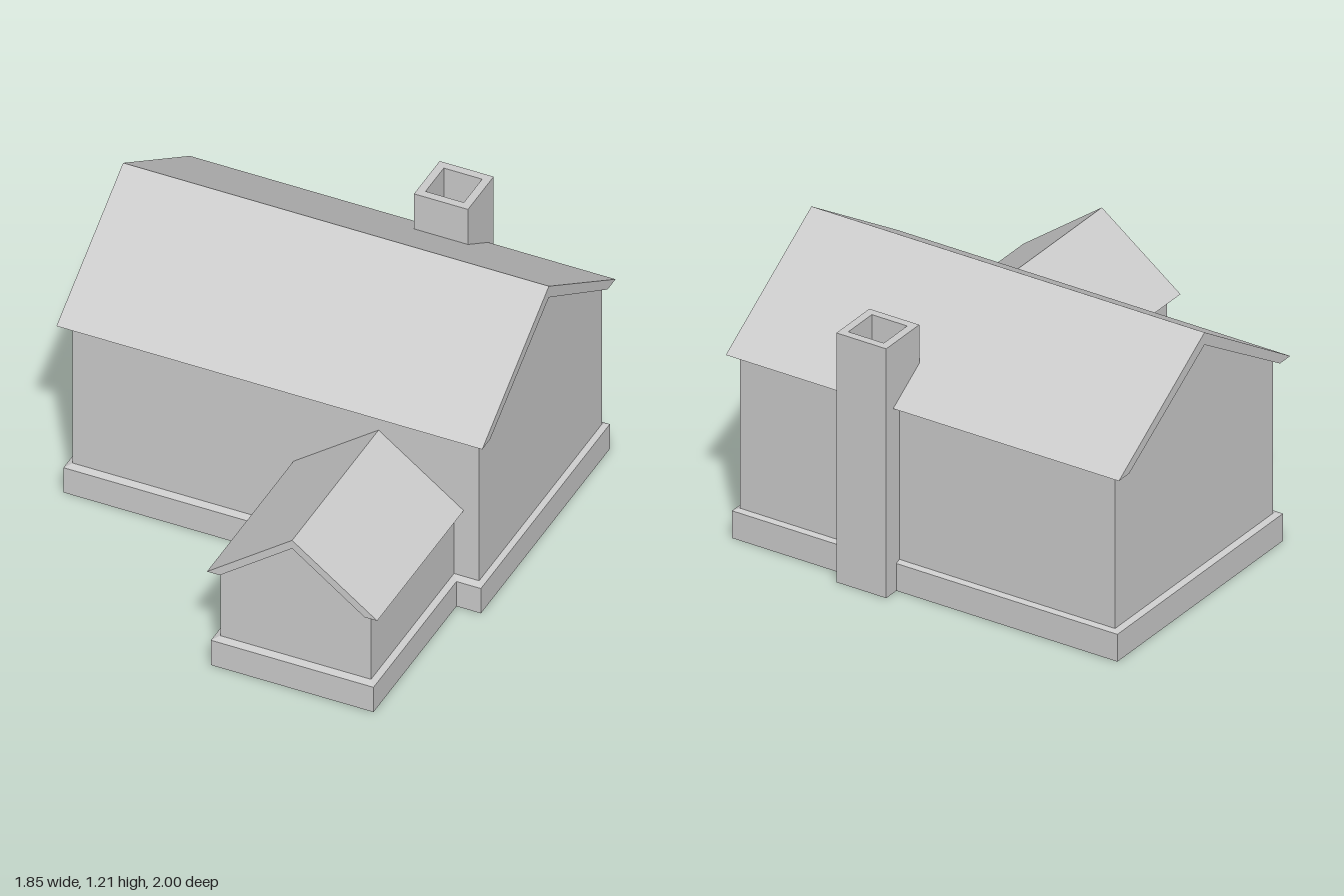
import * as THREE from 'three';

const grey = new THREE.MeshStandardMaterial({ color: 0xcccccc, side: THREE.DoubleSide });
grey.name = 'plain grey';

const shapeOf = (pts) => new THREE.Shape(pts.map(([x, y]) => new THREE.Vector2(x, y)));

function part(name, geometry, parent) {
  const mesh = new THREE.Mesh(geometry, grey);
  mesh.name = name;
  parent.add(mesh);
  return mesh;
}

const extrude = (shape, depth) => new THREE.ExtrudeGeometry(shape, { depth, bevelEnabled: false });

// Pitched roof profile with level soffits: centre, outer and inner half spans
const chevron = (c, outer, inner, eave, top, under) => shapeOf([
  [c - outer, eave], [c - inner, eave], [c, under],
  [c + inner, eave], [c + outer, eave], [c, top],
]);

// Gable wall outline that fits below a roof
const gable = (left, right, c, inner, eave, under) => [
  [left, 0], [right, 0], [right, eave], [c + inner, eave], [c, under], [c - inner, eave], [left, eave],
];

// Closed bands of quads between matching rings of [x, z] points
function loft(rings) {
  const pos = [];
  for (let k = 0; k < rings.length - 1; k++) {
    const n = rings[k].pts.length;
    for (let i = 0; i < n; i++) {
      const at = (r, j) => [r.pts[j % n][0], r.y, r.pts[j % n][1]];
      const a = at(rings[k], i), b = at(rings[k], i + 1);
      const c = at(rings[k + 1], i + 1), d = at(rings[k + 1], i);
      pos.push(...a, ...b, ...c, ...a, ...c, ...d);
    }
  }
  const g = new THREE.BufferGeometry();
  g.setAttribute('position', new THREE.Float32BufferAttribute(pos, 3));
  g.computeVertexNormals();
  return g;
}

// L-shaped footprint: main house box plus front annex
const footprint = (l, r, back, front, al, ar, af) => [
  [l, back], [l, front], [al, front], [al, af], [ar, af], [ar, front], [r, front], [r, back],
];

export function createModel() {
  const house = new THREE.Group();
  house.name = 'house';

  const L = -0.876, R = 0.886, B = -0.907, F = 0.213;     // main walls
  const AL = 0.124, AR = 0.777, AF = 0.968, AC = 0.45;    // annex walls
  const eave = 0.825, annexEave = 0.455, ridgeZ = -0.344;

  // Plinth ring with a sloped top edge
  const inner = footprint(L, R, B, F, AL, AR, AF);
  const outer = footprint(-0.901, 0.909, -0.928, 0.245, 0.098, 0.803, 1);
  part('plinth', loft([
    { y: 0, pts: inner }, { y: 0, pts: outer }, { y: 0.122, pts: outer }, { y: 0.131, pts: inner },
  ]), house);

  // Main walls, open below
  const mainGable = new THREE.ShapeGeometry(shapeOf(gable(B, F, ridgeZ, 0.534, eave, 1.155)));
  const rightGable = part('gableWallRight', mainGable, house);
  rightGable.rotation.y = -Math.PI / 2;
  rightGable.position.x = L;
  const leftGable = part('gableWallLeft', mainGable, house);
  leftGable.rotation.y = -Math.PI / 2;
  leftGable.position.x = R;
  part('backWall', new THREE.PlaneGeometry(R - L, eave).rotateY(Math.PI)
    .translate((L + R) / 2, eave / 2, B), house);

  // Front wall with an opening into the annex
  part('frontWall', new THREE.ShapeGeometry(shapeOf([
    [L, 0], [AL, 0], [AL, annexEave], [AC, 0.69], [AR, annexEave], [AR, 0], [R, 0], [R, eave], [L, eave],
  ])).translate(0, 0, F), house);

  // Annex walls
  part('annexFrontWall', new THREE.ShapeGeometry(
    shapeOf(gable(AL, AR, AC, 0.314, annexEave, 0.69))).translate(0, 0, AF), house);
  for (const [name, x, turn] of [['annexWallRight', AL, -1], ['annexWallLeft', AR, 1]]) {
    part(name, new THREE.PlaneGeometry(AF - F, annexEave).rotateY(turn * Math.PI / 2)
      .translate(x, annexEave / 2, (AF + F) / 2), house);
  }

  // Roofs
  part('mainRoof', extrude(chevron(ridgeZ, 0.607, 0.534, eave, 1.21, 1.155), 1.846)
    .rotateY(-Math.PI / 2).translate(0.923, 0, 0), house);
  part('annexRoof', extrude(chevron(AC, 0.369, 0.314, annexEave, 0.73, 0.69), 1 - F)
    .translate(0, 0, F), house);

  // Chimney: solid shaft with a hollow top
  const chimney = new THREE.Group();
  chimney.name = 'chimney';
  chimney.position.set(0.254, 0, -0.883);
  house.add(chimney);
  const h = 0.117, f = 0.083, top = 1.115, floor = 0.9;
  const square = (s) => [[-s, -s], [s, -s], [s, s], [-s, s]];
  part('chimneyShaft', new THREE.BoxGeometry(2 * h, floor, 2 * h).translate(0, floor / 2, 0), chimney);
  const rim = shapeOf(square(h));
  rim.holes.push(new THREE.Path(square(f).map(([x, y]) => new THREE.Vector2(x, y))));
  part('chimneyTop', extrude(rim, top - floor).rotateX(-Math.PI / 2).translate(0, floor, 0), chimney);

  return house;
}
